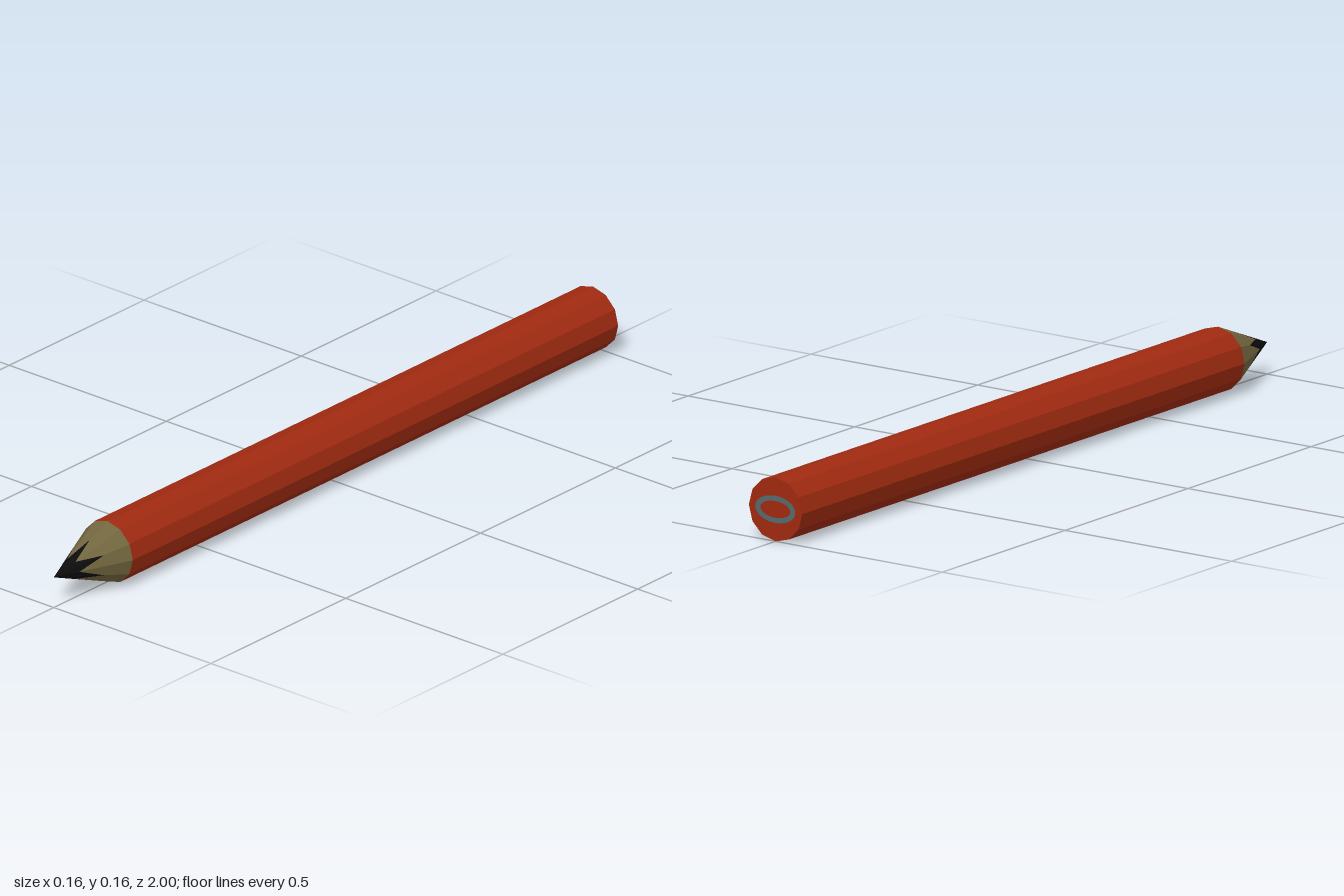
import * as THREE from 'three';

const SIDES = 12, RADIUS = 0.08, TIP_LENGTH = 0.2, SHOULDER = 0.8;

// Point on the sharpened cone: ray index k and distance r from the axis
function conePoint(k, r) {
  const a = (k * Math.PI * 2) / SIDES;
  return [r * Math.cos(a), r * Math.sin(a), SHOULDER + TIP_LENGTH * (1 - r / RADIUS)];
}

// The lead meets the wood in a six-pointed star
const starRadius = (k) => (k % 2 ? 0.053 : 0.026);

function facets(build) {
  const points = [];
  for (let k = 0; k < SIDES; k++) points.push(...build(k, k + 1));
  const geometry = new THREE.BufferGeometry();
  geometry.setAttribute('position', new THREE.Float32BufferAttribute(points.flat(), 3));
  geometry.computeVertexNormals();
  return geometry;
}

export function createModel() {
  const pencil = new THREE.Group();
  pencil.name = 'pencil';
  const add = (name, geometry, color) => {
    const material = new THREE.MeshStandardMaterial({ color, flatShading: true });
    const mesh = new THREE.Mesh(geometry, material);
    mesh.name = name;
    mesh.position.y = RADIUS;
    pencil.add(mesh);
    return mesh;
  };

  // Painted twelve-sided shaft along z
  const shaft = new THREE.CylinderGeometry(RADIUS, RADIUS, 1 + SHOULDER, SIDES);
  shaft.rotateX(Math.PI / 2).rotateZ(Math.PI / 2).translate(0, 0, (SHOULDER - 1) / 2);
  add('shaft', shaft, 0xa02a10);

  // Bare wood between the shaft and the star edge
  add('sharpenedWood', facets((i, j) => {
    const a = conePoint(i, RADIUS), b = conePoint(j, RADIUS);
    const c = conePoint(j, starRadius(j)), d = conePoint(i, starRadius(i));
    return [a, b, c, a, c, d];
  }), 0x72663f);

  // Exposed lead point
  add('leadPoint', facets((i, j) => [
    conePoint(i, starRadius(i)), conePoint(j, starRadius(j)), conePoint(0, 0),
  ]), 0x0c0c0c);

  // Flat oval ring on the back end
  const oval = new THREE.Shape().absellipse(0, 0, 0.06, 0.034, 0, Math.PI * 2);
  oval.holes.push(new THREE.Path().absellipse(0, 0, 0.045, 0.021, 0, Math.PI * 2, true));
  const ring = add('endRing', new THREE.ShapeGeometry(oval, 16), 0x566a6e);
  ring.rotation.y = Math.PI;
  ring.position.z = -1.001;

  return pencil;
}
